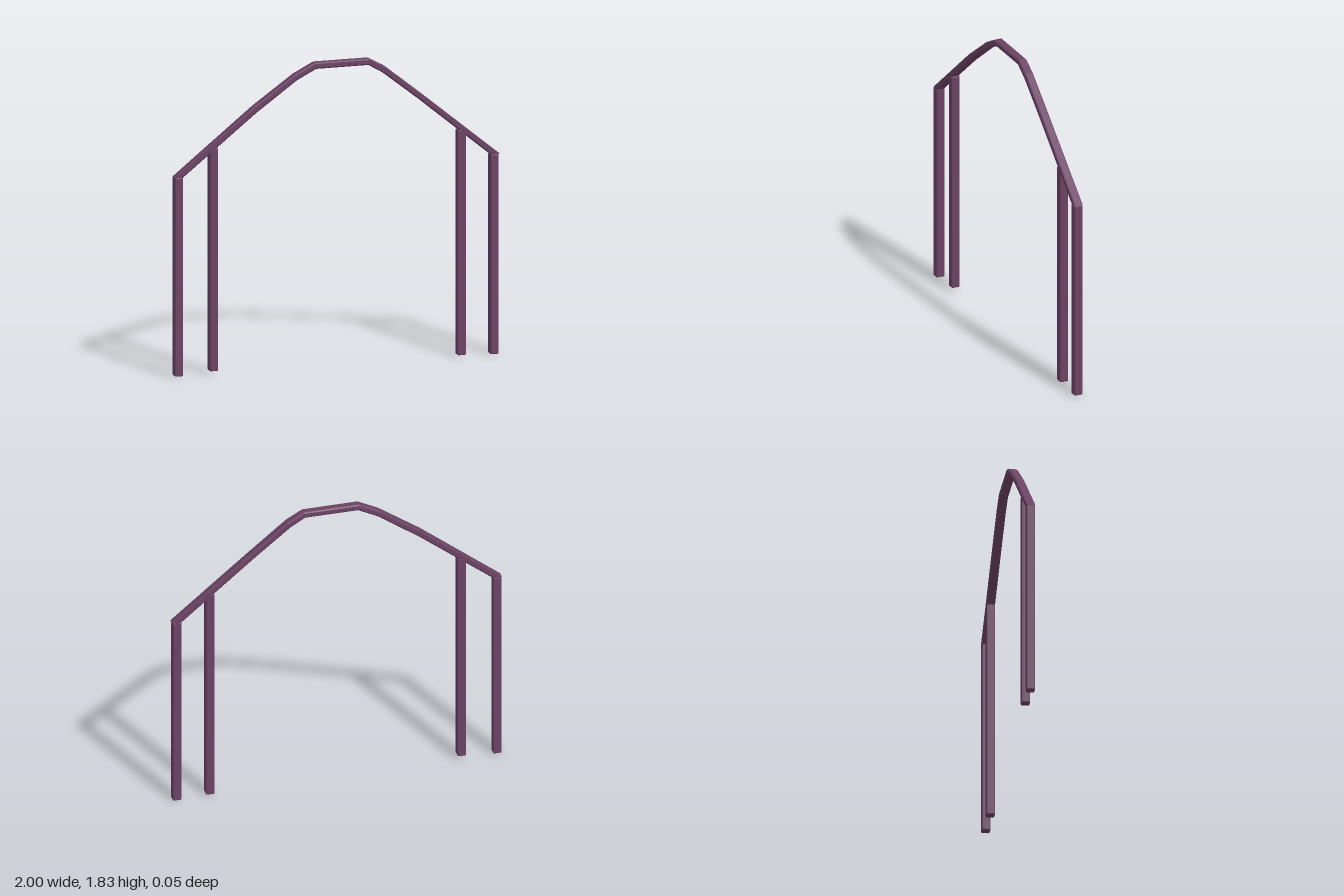
import * as THREE from 'three';
import { RoundedBoxGeometry } from 'three/addons/geometries/RoundedBoxGeometry.js';

const DEPTH = 0.052;
const BEVEL = 0.007;

export function createModel() {
  const group = new THREE.Group();
  const material = new THREE.MeshStandardMaterial({ color: 0x6b4264, flatShading: true });

  // Upright posts with chamfered edges: centre x, bottom, top
  const posts = [
    ['outerPostRight', -0.973, 0.008, 1.2],
    ['innerPostRight', -0.757, 0.024, 1.36],
    ['innerPostLeft', 0.768, 0.008, 1.36],
    ['outerPostLeft', 0.969, 0, 1.2],
  ];
  for (const [name, x, bottom, top] of posts) {
    const post = new THREE.Mesh(new RoundedBoxGeometry(0.052, top - bottom, DEPTH, 1, BEVEL), material);
    post.position.set(x, (bottom + top) / 2, 0);
    post.name = name;
    group.add(post);
  }

  // Arched handrail: upper edge left to right, then lower edge back
  const upper = [[-1, 1.2], [-0.51, 1.588], [-0.26, 1.762], [-0.136, 1.825],
    [0.2, 1.825], [0.297, 1.772], [0.52, 1.594], [1, 1.2]];
  const lower = [[0.948, 1.195], [0.505, 1.56], [0.283, 1.735], [0.193, 1.788],
    [-0.128, 1.788], [-0.247, 1.728], [-0.498, 1.55], [-0.95, 1.195]];
  const outline = new THREE.Shape([...upper, ...lower].map(([x, y]) => new THREE.Vector2(x, y)));
  const railGeometry = new THREE.ExtrudeGeometry(outline, {
    depth: DEPTH - 2 * BEVEL,
    bevelEnabled: true,
    bevelSegments: 1,
    bevelThickness: BEVEL,
    bevelSize: BEVEL,
    bevelOffset: -BEVEL,
  });
  railGeometry.translate(0, 0, BEVEL - DEPTH / 2);
  const rail = new THREE.Mesh(railGeometry, material);
  rail.name = 'archedRail';
  group.add(rail);

  return group;
}
